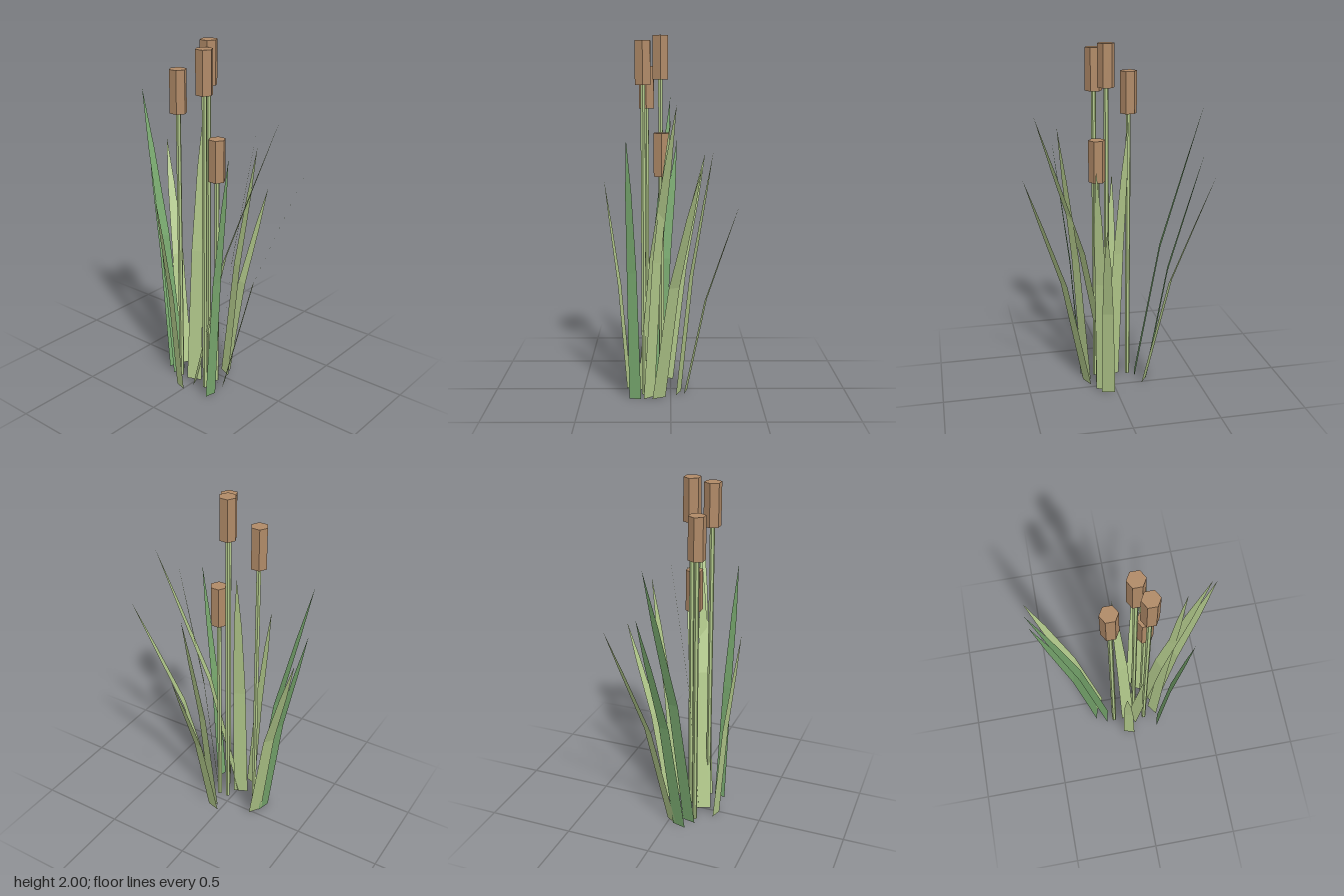
import * as THREE from 'three';

const olive = new THREE.MeshStandardMaterial({ name: 'olive leaf', color: 0xb2c98b, side: THREE.DoubleSide, flatShading: true });
const green = new THREE.MeshStandardMaterial({ name: 'deep green leaf', color: 0x78a86e, side: THREE.DoubleSide, flatShading: true });
const brown = new THREE.MeshStandardMaterial({ name: 'seed head brown', color: 0xb08a67, flatShading: true });

// Rows of a blade: height fraction, outward lean fraction, width fraction
const ROWS = [[0, 0, 1], [0.5, 0.38, 0.8], [0.8, 0.75, 0.5], [1, 1, 0]];

// Flat, outward bending strip: base centre (x, z), base width vector (x, z), tip
function bladeGeometry([bx, bz], [wx, wz], [tx, ty, tz]) {
  const pos = [];
  const index = [];
  ROWS.forEach(([h, lean, w], i) => {
    const cx = bx + (tx - bx) * lean;
    const cz = bz + (tz - bz) * lean;
    for (const s of [-0.5, 0.5]) pos.push(cx + s * w * wx, h * ty, cz + s * w * wz);
    if (i === 0) return;
    const a = 2 * i - 2;
    index.push(a, a + 1, a + 2);
    if (w > 0) index.push(a + 1, a + 3, a + 2);
  });
  const geo = new THREE.BufferGeometry();
  geo.setAttribute('position', new THREE.Float32BufferAttribute(pos, 3));
  geo.setIndex(index);
  geo.computeVertexNormals();
  return geo;
}

const BLADES = [
  // base, width vector, tip, material
  [[-0.188, 0.02], [0.045, -0.07], [-0.525, 1.32, -0.215], olive],
  [[-0.215, 0.075], [0.02, -0.08], [-0.51, 1.4, -0.04], green],
  [[-0.152, 0.113], [0.016, -0.077], [-0.51, 1.66, 0], green],
  [[-0.02, 0.128], [0.08, -0.035], [-0.075, 1.6, -0.03], olive],
  [[0.05, -0.085], [0.075, 0.02], [0.117, 1.09, -0.378], olive],
  [[0.072, -0.045], [0.076, 0.03], [0.145, 1.38, -0.23], olive],
  [[0.15, 0.065], [0.035, 0.072], [0.52, 1.33, -0.155], olive],
  [[0.005, 0.15], [0.034, 0.077], [0.44, 1.64, 0.03 - 0.06], olive],
  [[0.145, 0.12], [0.043, 0.06], [0.313, 1.57, 0], olive],
  [[0.163, 0.198], [-0.015, 0.066], [0.31, 1.46, 0.232], green],
  [[-0.03, 0.24], [-0.066, -0.019], [-0.068, 1.2, 0.375], olive],
];

// Stem positions and total heights
const REEDS = [
  [-0.112, 0.135, 1.84],
  [0.031, 0.055, 2],
  [0.085, 0.05, 1.478],
  [0.082, 0.15, 1.97],
];
const HEAD = 0.235;

function hexPrism(radius, height) {
  return new THREE.CylinderGeometry(radius, radius, height, 6, 1, false, Math.PI / 6);
}

export function createModel() {
  const model = new THREE.Group();
  model.name = 'reedClump';

  BLADES.forEach(([base, width, tip, material], i) => {
    const blade = new THREE.Mesh(bladeGeometry(base, width, tip), material);
    blade.name = `leafBlade${i + 1}`;
    model.add(blade);
  });

  REEDS.forEach(([x, z, top], i) => {
    const reed = new THREE.Group();
    reed.name = `reed${i + 1}`;
    reed.position.set(x, 0, z);
    // Stem runs slightly into the head
    const length = top - HEAD + 0.02;
    const stem = new THREE.Mesh(hexPrism(0.014, length), olive);
    stem.name = 'stem';
    stem.position.y = length / 2;
    const head = new THREE.Mesh(hexPrism(0.048, HEAD), brown);
    head.name = 'seedHead';
    head.position.y = top - HEAD / 2;
    reed.add(stem, head);
    model.add(reed);
  });

  return model;
}
